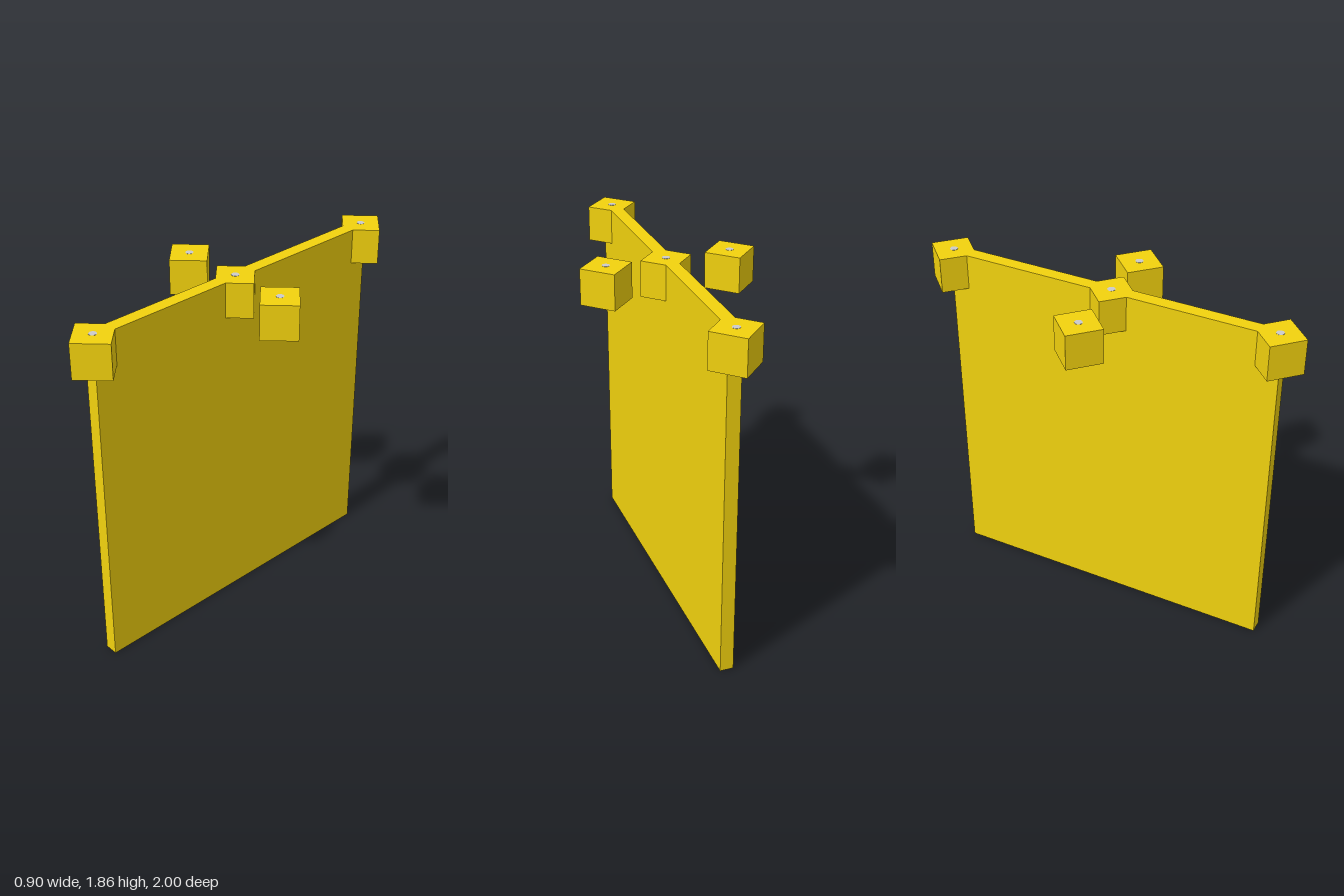
import * as THREE from 'three';

export function createModel() {
  const model = new THREE.Group();
  const yellow = new THREE.MeshStandardMaterial({ color: 0xf2d20e, flatShading: true });
  const grey = new THREE.MeshStandardMaterial({ color: 0xcccccc });
  const top = 1.863, cube = 0.186, cx = 0.013, cz = 0.014;

  function add(parent, name, geometry, material, x, y, z) {
    const mesh = new THREE.Mesh(geometry, material);
    mesh.name = name;
    mesh.position.set(x, y, z);
    parent.add(mesh);
    return mesh;
  }

  // Tall thin upright panel
  add(model, 'panel', new THREE.BoxGeometry(0.07, top, 1.755), yellow, cx, top / 2, cz);

  // Cubes turned 45 degrees, level with the panel top, each with a small pin in its top
  const cubeGeometry = new THREE.BoxGeometry(cube, cube, cube);
  const pinGeometry = new THREE.CylinderGeometry(0.02, 0.02, 0.01, 16);
  const spots = [
    ['frontCube', cx, 0.869],
    ['centreCube', cx, cz],
    ['backCube', cx, -0.869],
    ['leftCube', 0.319, cz],
    ['rightCube', -0.321, cz],
  ];
  for (const [name, x, z] of spots) {
    const block = new THREE.Group();
    block.name = name;
    block.position.set(x, top - cube / 2, z);
    add(block, 'cube', cubeGeometry, yellow, 0, 0, 0).rotation.y = Math.PI / 4;
    add(block, 'pin', pinGeometry, grey, 0, cube / 2 - 0.004, 0);
    model.add(block);
  }
  return model;
}
